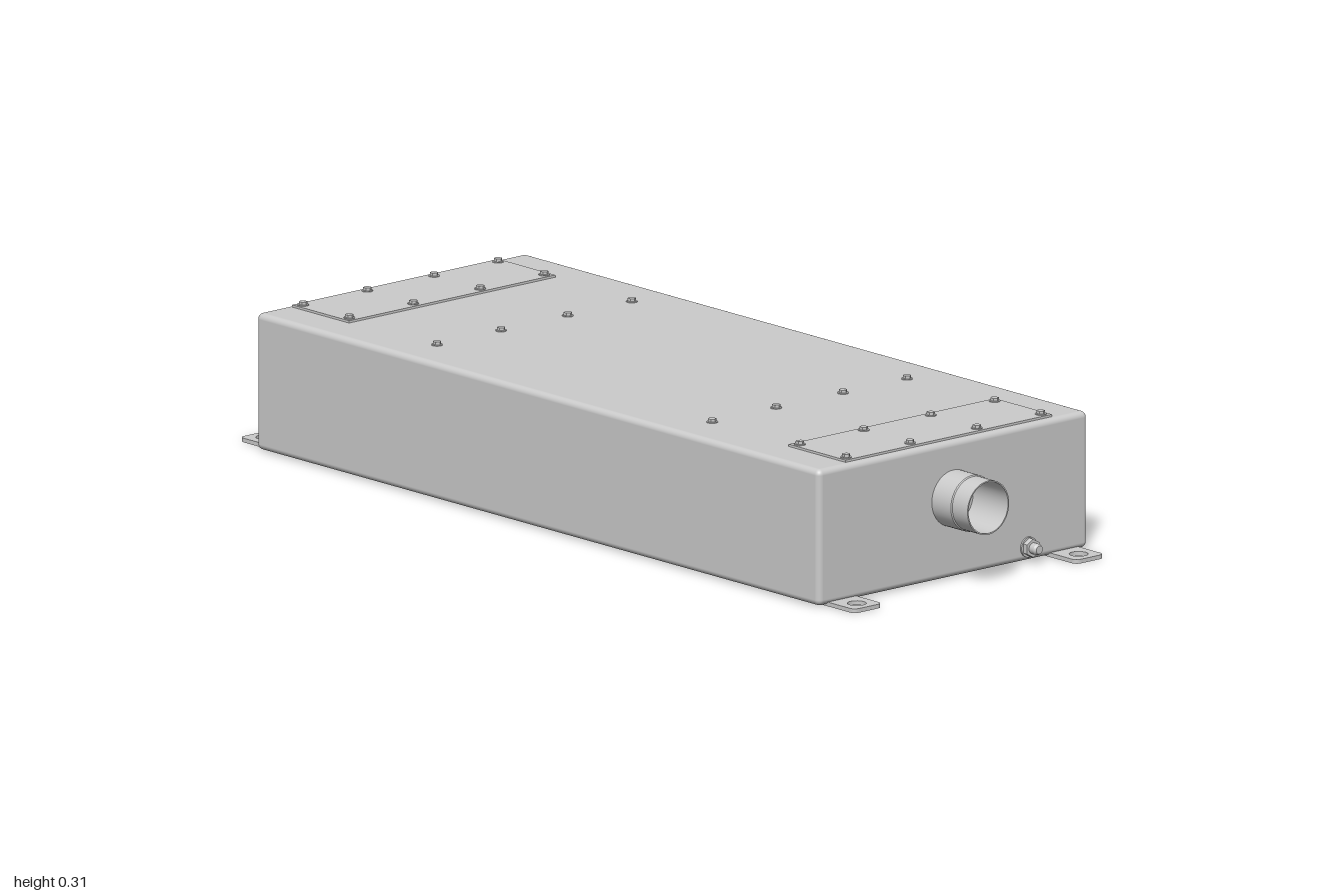
import * as THREE from 'three';
import { RoundedBoxGeometry } from 'three/addons/geometries/RoundedBoxGeometry.js';

const grey = new THREE.MeshStandardMaterial({ color: 0xcccccc });
const greyFlat = new THREE.MeshStandardMaterial({ color: 0xcccccc, flatShading: true });
const TOP = 0.299, END = 0.89, PLATE = 0.005;

function add(parent, name, geometry, x, y, z, material = grey) {
  const mesh = new THREE.Mesh(geometry, material);
  mesh.name = name;
  mesh.position.set(x, y, z);
  parent.add(mesh);
  return mesh;
}

// Cylinder lying along z, from z0 to z1
function rod(parent, name, r0, r1, x, y, z0, z1, sides = 32, material = grey) {
  const g = new THREE.CylinderGeometry(r1, r0, z1 - z0, sides).rotateX(Math.PI / 2);
  return add(parent, name, g, x, y, (z0 + z1) / 2, material);
}

// Mounting tab with clipped outer corners and a bolt hole
function footGeometry() {
  const w = 0.04, z0 = 0.87, z1 = 0.972, c = 0.015;
  const s = new THREE.Shape();
  s.moveTo(-w, -z0);
  s.lineTo(w, -z0);
  s.lineTo(w, -z1 + c);
  s.quadraticCurveTo(w, -z1, w - c, -z1);
  s.lineTo(-w + c, -z1);
  s.quadraticCurveTo(-w, -z1, -w, -z1 + c);
  s.closePath();
  const hole = new THREE.Path();
  hole.absarc(0, -0.935, 0.02, 0, Math.PI * 2);
  s.holes.push(hole);
  return new THREE.ExtrudeGeometry(s, { depth: 0.009, bevelEnabled: false, curveSegments: 16 })
    .rotateX(-Math.PI / 2);
}

// Screw with washer and hexagonal head
function screw(parent, x, y, z) {
  const g = new THREE.Group();
  g.name = 'screw';
  g.position.set(x, y, z);
  add(g, 'washer', new THREE.CylinderGeometry(0.012, 0.012, 0.002, 20), 0, 0.001, 0);
  add(g, 'screwHead', new THREE.CylinderGeometry(0.009, 0.009, 0.006, 6), 0, 0.005, 0, greyFlat);
  parent.add(g);
}

// Thin-walled pipe with a slightly narrower outer end
function pipeGeometry() {
  const p = [
    [0.061, 0.885], [0.061, 0.95], [0.061, 0.95], [0.0585, 0.952], [0.0585, 0.952],
    [0.0585, 1], [0.0585, 1], [0.0555, 1], [0.0555, 1], [0.0555, 0.885],
  ].map(([r, z]) => new THREE.Vector2(r, z));
  return new THREE.LatheGeometry(p, 48).rotateX(Math.PI / 2);
}

// Everything belonging to one end of the box
function createEnd(name) {
  const end = new THREE.Group();
  end.name = name;

  const pipe = add(end, 'pipe', pipeGeometry(), 0, 0.175, 0);
  pipe.material = grey.clone();
  pipe.material.side = THREE.DoubleSide;

  // Drain fitting
  const x = 0.21, y = 0.033;
  rod(end, 'drainFlange', 0.022, 0.022, x, y, END - 0.005, END + 0.004);
  rod(end, 'drainNut', 0.02, 0.02, x, y, END + 0.004, END + 0.016, 6, greyFlat);
  rod(end, 'drainNipple', 0.012, 0.012, x, y, END + 0.016, END + 0.03, 24);
  rod(end, 'drainTip', 0.012, 0.009, x, y, END + 0.03, END + 0.036, 24);

  // Feet
  for (const sx of [-1, 1]) add(end, 'foot', footGeometry(), sx * 0.312, 0, 0);

  // Access cover and its screws
  add(end, 'accessCover', new THREE.BoxGeometry(0.58, PLATE, 0.18), 0, TOP + PLATE / 2, 0.785);
  for (const sx of [-0.274, -0.094, 0.094, 0.274]) {
    screw(end, sx, TOP + PLATE, 0.858);
    screw(end, sx, TOP + PLATE, 0.712);
    screw(end, sx, TOP, 0.435);
  }
  return end;
}

export function createModel() {
  const model = new THREE.Group();
  model.name = 'ductBox';
  const bottom = 0.003;
  add(model, 'housing', new RoundedBoxGeometry(0.758, TOP - bottom, END * 2, 4, 0.013),
    0, (TOP + bottom) / 2, 0);

  // The two ends are the same, turned half round
  const back = createEnd('backEnd');
  back.rotation.y = Math.PI;
  model.add(createEnd('frontEnd'), back);
  return model;
}
